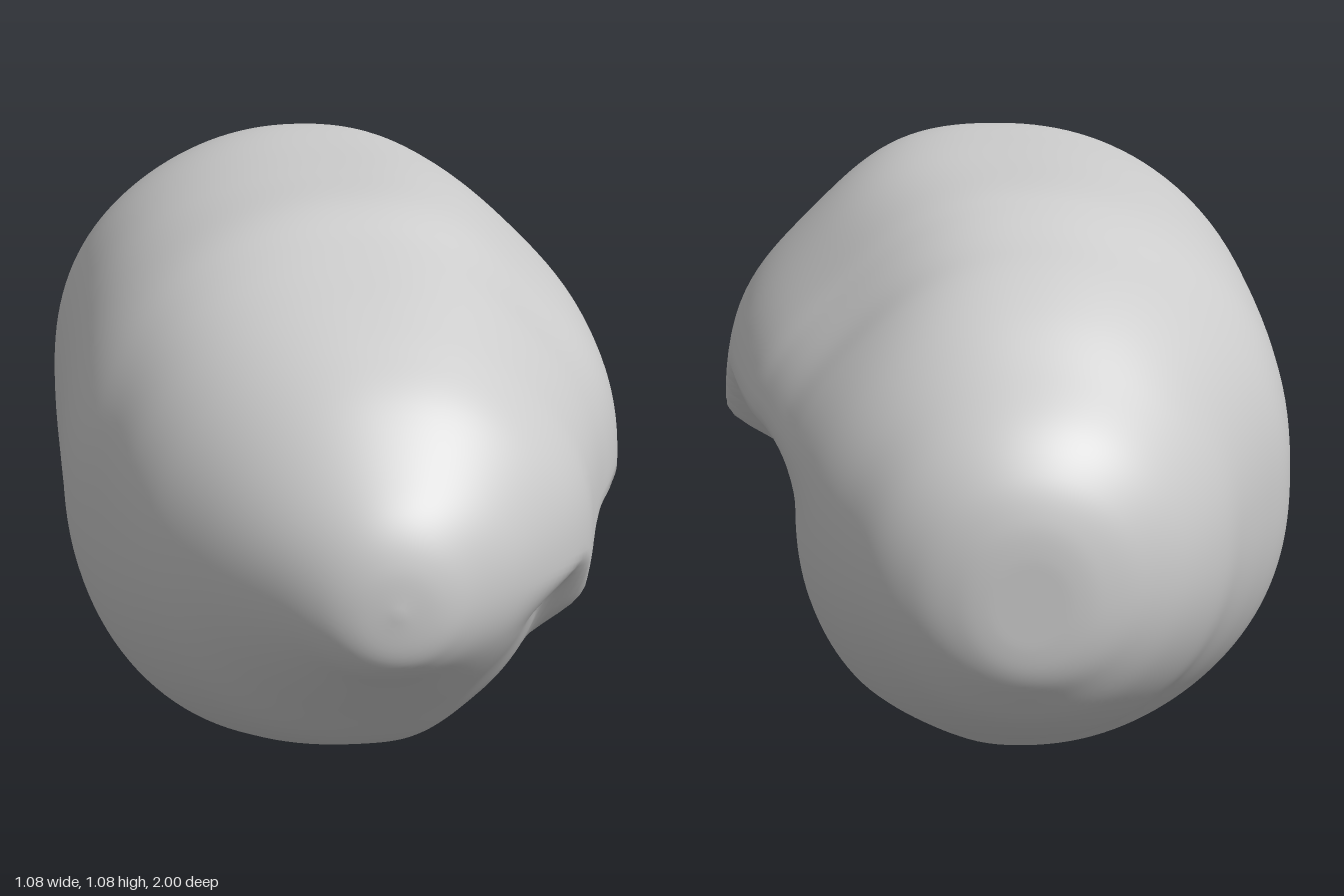
import * as THREE from 'three';
import { mergeVertices } from 'three/addons/utils/BufferGeometryUtils.js';

const { smoothstep, lerp, clamp } = THREE.MathUtils;

// Extents along the boulder: z, xMin, xMax, yMin, yMax
const STATIONS = [
  [1.0, 0, 0, 0.54, 0.54],
  [0.99, -0.08, 0.08, 0.455, 0.62],
  [0.96, -0.145, 0.145, 0.41, 0.69],
  [0.9, -0.22, 0.23, 0.36, 0.76],
  [0.8, -0.32, 0.33, 0.265, 0.86],
  [0.7, -0.4, 0.39, 0.17, 0.92],
  [0.6, -0.45, 0.42, 0.115, 0.965],
  [0.5, -0.485, 0.455, 0.075, 1.0],
  [0.4, -0.525, 0.495, 0.033, 1.035],
  [0.28, -0.54, 0.53, 0.006, 1.077],
  [0.1, -0.54, 0.54, 0.002, 1.085],
  [-0.1, -0.54, 0.535, 0.002, 1.085],
  [-0.3, -0.54, 0.505, 0.006, 1.083],
  [-0.4, -0.535, 0.475, 0.015, 1.065],
  [-0.5, -0.515, 0.45, 0.04, 1.03],
  [-0.6, -0.465, 0.42, 0.085, 1.0],
  [-0.7, -0.41, 0.38, 0.14, 0.95],
  [-0.8, -0.36, 0.33, 0.19, 0.88],
  [-0.9, -0.28, 0.27, 0.26, 0.81],
  [-0.96, -0.2, 0.2, 0.33, 0.74],
  [-0.99, -0.13, 0.13, 0.38, 0.67],
  [-1.0, -0.07, 0.07, 0.44, 0.6],
  [-1.0, 0, 0, 0.52, 0.52],
];

// Smooth curve through two columns of the stations
const track = (a, b) => new THREE.CatmullRomCurve3(
  STATIONS.map((s) => new THREE.Vector3(s[0], s[a], s[b])), false, 'catmullrom', 0.5);

// How far the stepped ledges cut into the +x side at a given height and z
function ledgeDepth(y, z) {
  const below = (level, w) => 1 - smoothstep(y, level - w, level + w);

  const level1 = 0.62 - 0.14 * smoothstep(z, -0.1, 0.1);
  const fade1 = smoothstep(z, -0.75, -0.15) * (1 - smoothstep(z, 0.35, 0.6));
  const cut1 = 0.14 * fade1 * below(level1, 0.065) * (0.3 + 0.7 * smoothstep(y, 0.08, 0.38));

  const level2 = 0.17 + 0.15 * smoothstep(z, 0.2, 0.42) + 0.16 * smoothstep(z, 0.52, 0.74);
  const fade2 = smoothstep(z, -0.75, -0.3) * (1 - smoothstep(z, 0.7, 0.92));
  const cut2 = 0.075 * fade2 * below(level2, 0.05);

  const level3 = 0.03 + 0.12 * smoothstep(z, 0.36, 0.6);
  const fade3 = smoothstep(z, 0.2, 0.4) * (1 - smoothstep(z, 0.55, 0.75));
  const cut3 = 0.035 * fade3 * below(level3, 0.045);

  return (cut1 + cut2 + cut3) * smoothstep(y, -0.02, 0.1);
}

// Loft of rounded sections; the diagonals follow an ellipsoid so that only
// the top, bottom and sides are flattened
function boulderGeometry(rings = 140, sides = 144) {
  const xTrack = track(1, 2);
  const yTrack = track(3, 4);
  const positions = [];
  const indices = [];
  for (let i = 0; i <= rings; i++) {
    const px = xTrack.getPoint(i / rings);
    const py = yTrack.getPoint(i / rings);
    const z = clamp(px.x, -1, 1);
    const middle = 1 - smoothstep(Math.abs(z), 0.25, 0.95);
    const ellipse = 0.543 * Math.sqrt(1 - z * z);
    const ellipsoidal = 1 - smoothstep(Math.abs(z), 0.45, 0.8);
    for (let j = 0; j < sides; j++) {
      const t = (j / sides) * Math.PI * 2;
      const c = Math.cos(t);
      const s = Math.sin(t);
      const diagonal = Math.sin(2 * t) ** 2;
      const chamfer = c > 0 && s > 0 ? 0.45 * diagonal * middle : 0;
      const n = 2.05 + 0.33 * middle - chamfer;
      const r = Math.pow(Math.abs(c) ** n + Math.abs(s) ** n, -1 / n);
      const mix = diagonal * ellipsoidal;
      const halfX = lerp((px.z - px.y) / 2, ellipse, mix);
      const halfY = lerp((py.z - py.y) / 2, ellipse, mix);
      let x = (px.y + px.z) / 2 + c * r * halfX;
      const y = (py.y + py.z) / 2 + s * r * halfY;
      x -= ledgeDepth(y, z) * smoothstep(x, 0, 0.28);
      positions.push(x, Math.max(0, y), z);
      if (i < rings) {
        const k = (j + 1) % sides;
        const a = i * sides + j;
        const b = i * sides + k;
        indices.push(a, a + sides, b, b, a + sides, b + sides);
      }
    }
  }
  const geometry = new THREE.BufferGeometry();
  geometry.setAttribute('position', new THREE.Float32BufferAttribute(positions, 3));
  geometry.setIndex(indices);
  // Weld the two poles so the ends shade smoothly
  const welded = mergeVertices(geometry, 1e-5);
  welded.computeVertexNormals();
  return welded;
}

export function createModel() {
  const group = new THREE.Group();
  group.name = 'rock';
  const boulder = new THREE.Mesh(
    boulderGeometry(),
    new THREE.MeshStandardMaterial({ color: 0xcccccc, roughness: 0.9 }));
  boulder.name = 'boulder';
  group.add(boulder);
  return group;
}
